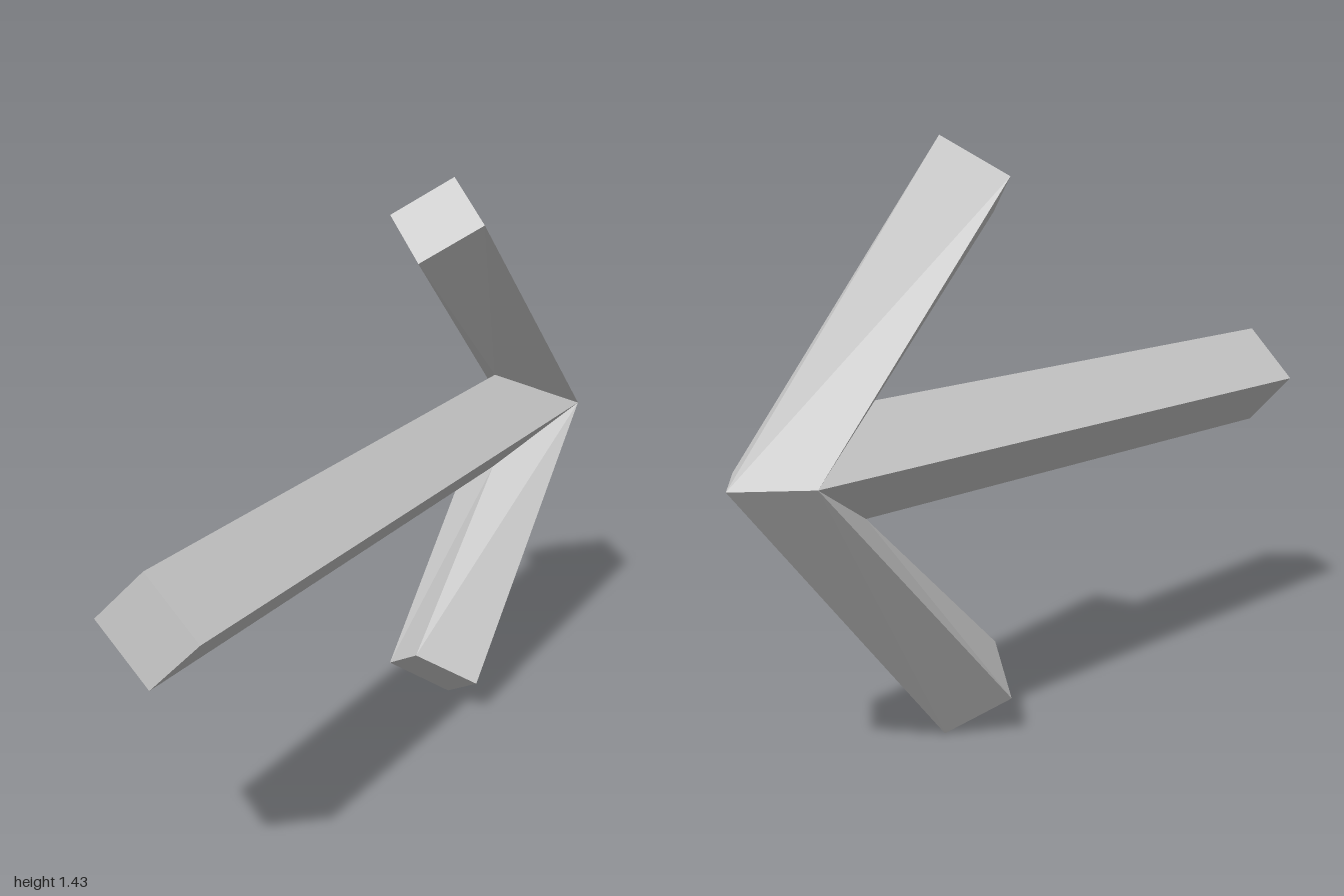
import * as THREE from 'three';

const MID = 0.72;   // height of the shaft axis
const HALF = 0.133; // half width of every diamond section

// Diamond ring, anticlockwise seen from the beam's free end; points are [y offset, z]
const ring = (upper, side, lower) => [
  [0, MID + upper[0], upper[1]],
  [-HALF, MID + side[0], side[1]],
  [0, MID + lower[0], lower[1]],
  [HALF, MID + side[0], side[1]],
];

// Four-sided beam between two rings, capped at its free end
function beam(name, start, end, material) {
  const positions = [];
  const quad = (a, b, c, d) => positions.push(...a, ...b, ...c, ...a, ...c, ...d);
  for (let i = 0; i < 4; i++) {
    const j = (i + 1) % 4;
    quad(start[i], start[j], end[j], end[i]);
  }
  quad(...end);
  const geometry = new THREE.BufferGeometry();
  geometry.setAttribute('position', new THREE.Float32BufferAttribute(positions, 3));
  geometry.computeVertexNormals();
  const mesh = new THREE.Mesh(geometry, material);
  mesh.name = name;
  return mesh;
}

export function createModel() {
  const group = new THREE.Group();
  group.name = 'arrow';
  const gray = new THREE.MeshStandardMaterial({ color: 0xcccccc });
  gray.name = 'light gray';

  // Shared mitre points where shaft and barbs meet
  const shoulder = [0, -0.866];
  const crotch = [HALF, -0.594];
  const tip = [0, -1];
  const flip = ([y, z]) => [-y, z];

  // Shaft
  group.add(beam('shaft',
    ring(crotch, shoulder, flip(crotch)),
    ring([HALF, 1], [0, 1], [-HALF, 1]), gray));

  // Barbs, mirrored about the shaft
  const outer = [0.715, -0.338], side = [0.622, -0.245], inner = [0.53, -0.15];
  group.add(beam('upperBarb',
    ring(tip, shoulder, crotch),
    ring(outer, side, inner), gray));
  group.add(beam('lowerBarb',
    ring(flip(crotch), shoulder, tip),
    ring(flip(inner), flip(side), flip(outer)), gray));

  group.position.y = -0.005;
  const root = new THREE.Group();
  root.add(group);
  return root;
}
